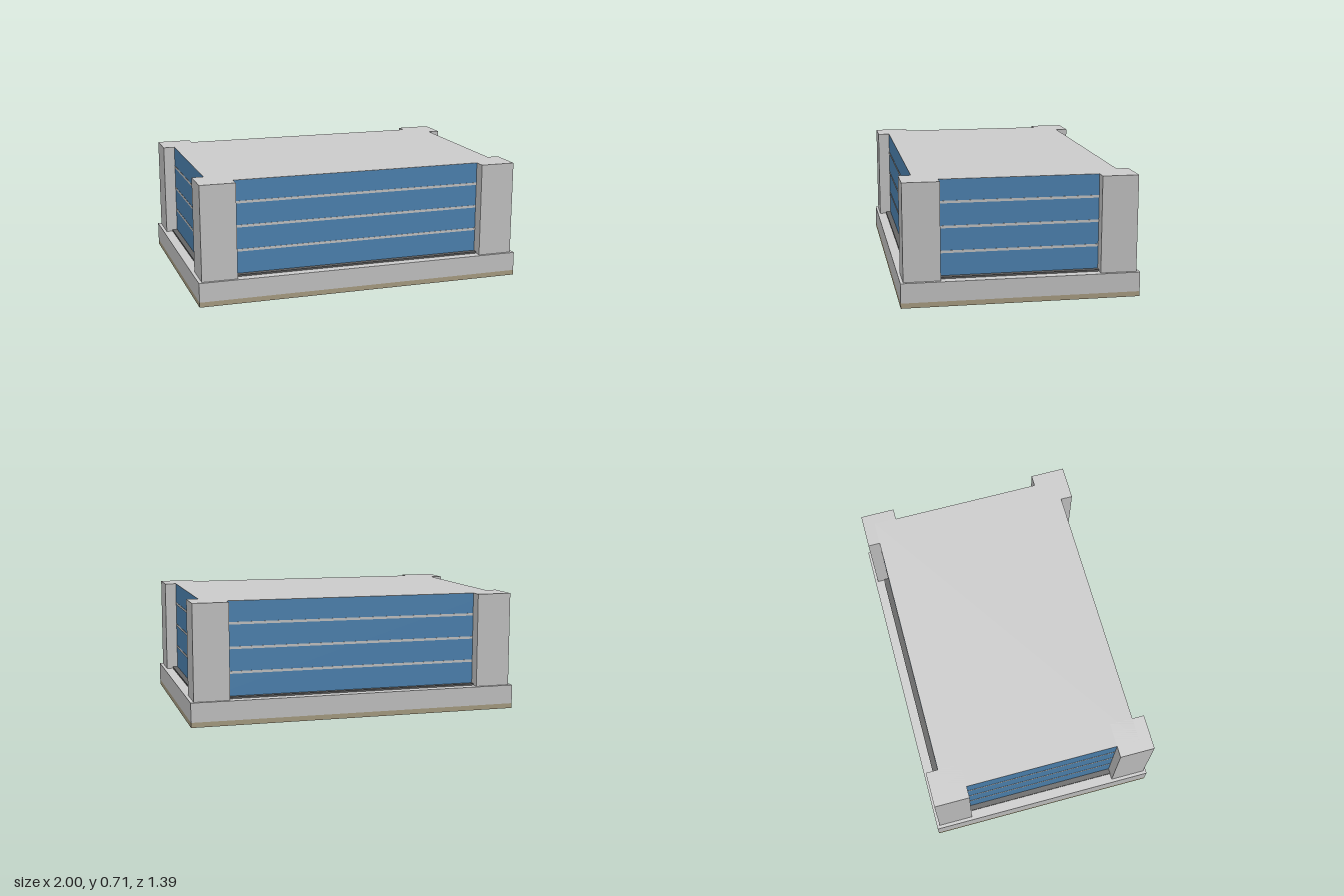
import * as THREE from 'three';

const material = (color) => new THREE.MeshStandardMaterial({ color });

export function createModel() {
  const model = new THREE.Group();
  const grey = material(0xcccccc);
  const blue = material(0x5088b8);
  const dark = material(0x646464);
  const sand = material(0xafa488);

  // Box given by its size, its centre in x and z, and its lowest y
  const box = (name, [w, h, d], [x, y, z], mat) => {
    const mesh = new THREE.Mesh(new THREE.BoxGeometry(w, h, d), mat);
    mesh.name = name;
    mesh.position.set(x, y + h / 2, z);
    model.add(mesh);
  };

  const top = 0.715, deck = 0.145;
  const glassX = 0.91, glassZ = 0.605;

  // Ground slab and plinth
  box('groundSlab', [2, 0.03, 1.39], [0, 0, 0], sand);
  box('plinth', [2, deck - 0.03, 1.39], [0, 0.03, 0], grey);

  // Main block, clad in blue walls below a thin grey roof
  box('walls', [glassX * 2, top - deck - 0.002, glassZ * 2], [0, deck, 0], blue);
  box('roof', [glassX * 2, 0.002, glassZ * 2], [0, top - 0.002, 0], grey);

  // Horizontal bands on all four walls
  for (const y of [0.287, 0.432, 0.576]) {
    box('wallBand', [glassX * 2 + 0.003, 0.015, glassZ * 2 + 0.003], [0, y, 0], grey);
  }

  // Corner piers, and dark sills at the foot of each wall
  for (const s of [-1, 1]) {
    for (const t of [-1, 1]) {
      box('cornerPier', [0.212, top - deck, 0.213], [s * 0.874, deck, t * 0.5715], grey);
    }
    box('longSill', [1.536, 0.01, 0.032], [0, deck, s * 0.621], dark);
    box('shortSill', [0.032, 0.01, 0.93], [s * 0.926, deck, 0], dark);
  }

  return model;
}
